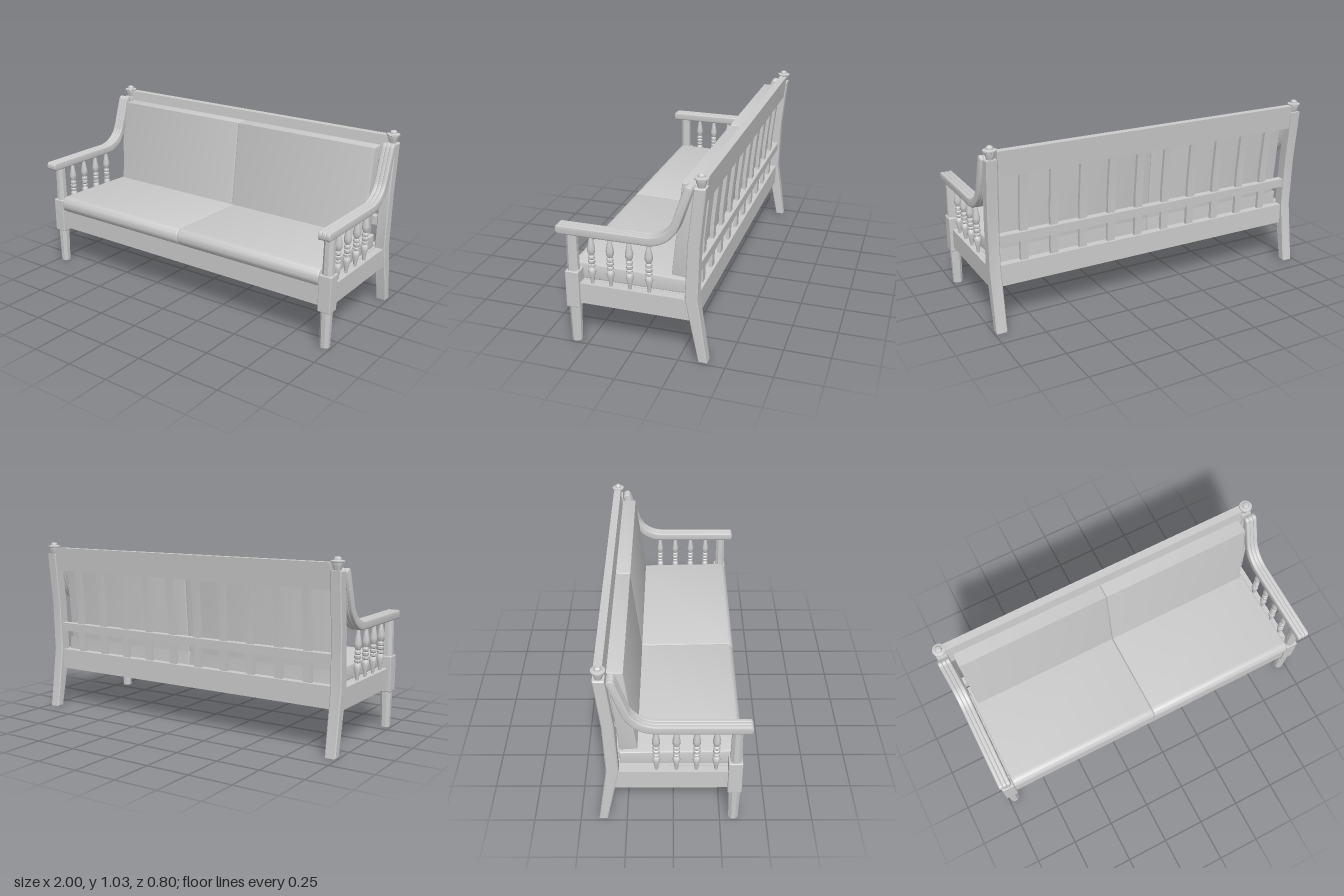
import * as THREE from 'three';
import { toCreasedNormals } from 'three/addons/utils/BufferGeometryUtils.js';
import { RoundedBoxGeometry } from 'three/addons/geometries/RoundedBoxGeometry.js';

const material = new THREE.MeshStandardMaterial({ color: 0xcccccc });

function add(parent, name, geometry, x = 0, y = 0, z = 0) {
  const mesh = new THREE.Mesh(geometry, material);
  mesh.name = name;
  mesh.position.set(x, y, z);
  parent.add(mesh);
  return mesh;
}

// Extrude a side profile, given as (z, y), across x and centre it on x = 0
function acrossX(shape, width, bevel = 0, bevelSegments = 3) {
  const depth = width - 2 * bevel;
  const g = new THREE.ExtrudeGeometry(shape, {
    depth, bevelEnabled: bevel > 0, bevelSize: bevel, bevelThickness: bevel,
    bevelOffset: -bevel, bevelSegments, curveSegments: 12,
  });
  g.translate(0, 0, -depth / 2).rotateY(-Math.PI / 2);
  return toCreasedNormals(g, 0.6);
}

const polygon = (points) => new THREE.Shape(points.map(([z, y]) => new THREE.Vector2(z, y)));

// Lathe from (radius, height) pairs
const turned = (points, segments = 16) => toCreasedNormals(
  new THREE.LatheGeometry(points.map(([r, y]) => new THREE.Vector2(r, y)), segments), 0.7);

// Eight-sided tapered post, flat to the front, standing on its base
function octagonPost(top, bottom, height) {
  const k = 1 / Math.cos(Math.PI / 8);
  return new THREE.CylinderGeometry(top * k, bottom * k, height, 8)
    .rotateY(Math.PI / 8).translate(0, height / 2, 0).toNonIndexed();
}

function flat(geometry) {
  geometry.computeVertexNormals();
  return geometry;
}

// Side outline of the sweeping armrest
function armShape() {
  const s = new THREE.Shape();
  s.moveTo(0.385, 0.625);
  s.quadraticCurveTo(0.402, 0.627, 0.402, 0.65);
  s.quadraticCurveTo(0.402, 0.673, 0.385, 0.675);
  s.lineTo(-0.085, 0.675);
  s.bezierCurveTo(-0.155, 0.68, -0.205, 0.725, -0.222, 0.775);
  s.lineTo(-0.28, 0.95);
  s.quadraticCurveTo(-0.288, 0.972, -0.305, 0.968);
  s.quadraticCurveTo(-0.326, 0.964, -0.325, 0.945);
  s.lineTo(-0.264, 0.765);
  s.bezierCurveTo(-0.24, 0.69, -0.18, 0.63, -0.095, 0.625);
  s.closePath();
  return s;
}

function seatShape() {
  const s = new THREE.Shape();
  s.moveTo(-0.28, 0.35);
  s.lineTo(0.345, 0.35);
  s.bezierCurveTo(0.37, 0.37, 0.372, 0.41, 0.345, 0.435);
  s.quadraticCurveTo(0.335, 0.443, 0.31, 0.443);
  s.lineTo(-0.28, 0.43);
  s.closePath();
  return s;
}

function createSide() {
  const side = new THREE.Group();
  const x = 0.96;

  // Back leg, kicked out below the seat and leaning back above it
  add(side, 'backLeg', acrossX(polygon([
    [-0.355, 0], [-0.283, 0.36], [-0.297, 0.66], [-0.33, 0.96],
    [-0.39, 0.96], [-0.36, 0.66], [-0.35, 0.36], [-0.401, 0],
  ]), 0.062, 0.005, 1), x);
  add(side, 'finial', turned([
    [0, 0.95], [0.018, 0.955], [0.02, 0.965], [0.027, 0.985], [0.028, 0.998],
    [0.037, 1.002], [0.037, 1.009], [0.019, 1.013], [0.018, 1.023], [0.012, 1.029], [0, 1.03],
  ], 20), x, 0, -0.36);

  // Front leg with square block and arm post
  add(side, 'frontLeg', flat(octagonPost(0.031, 0.026, 0.215)), 0.963, 0, 0.324);
  add(side, 'frontLegBlock', new RoundedBoxGeometry(0.075, 0.21, 0.075, 2, 0.006), 0.9625, 0.315, 0.3225);
  add(side, 'armPost', flat(octagonPost(0.027, 0.03, 0.22)), 0.963, 0.415, 0.324);

  // Armrest of three rounded strands
  const arm = new THREE.Group();
  arm.name = 'armrest';
  const strand = acrossX(armShape(), 0.025, 0.009);
  for (const ax of [0.9425, 0.965, 0.9875]) add(arm, 'armStrand', strand, ax);
  side.add(arm);

  // Side rail and turned spindles
  add(side, 'sideRail', new THREE.BoxGeometry(0.045, 0.115, 0.6), x, 0.2925, -0.01);
  const spindle = turned([
    [0.008, 0], [0.013, 0.04], [0.021, 0.07], [0.018, 0.09], [0.012, 0.098],
    [0.018, 0.103], [0.018, 0.113], [0.013, 0.118], [0.018, 0.125], [0.018, 0.138],
    [0.013, 0.143], [0.018, 0.15], [0.018, 0.16], [0.012, 0.168],
    [0.02, 0.185], [0.021, 0.205], [0.014, 0.24], [0.007, 0.285],
  ]);
  for (const z of [0.222, 0.12, 0.016, -0.088]) add(side, 'armSpindle', spindle, x, 0.347, z);
  return side;
}

export function createModel() {
  const model = new THREE.Group();
  model.name = 'sofa';

  // Two mirrored ends; the mirrored one is turned by a negative scale
  const left = createSide();
  left.name = 'leftEnd';
  const right = createSide();
  right.name = 'rightEnd';
  right.scale.x = -1;
  model.add(left, right);

  // Seat frame
  add(model, 'frontRail', new THREE.BoxGeometry(1.87, 0.115, 0.05), 0, 0.2975, 0.322);
  add(model, 'seatBase', new THREE.BoxGeometry(1.87, 0.11, 0.6), 0, 0.295, 0.005);
  add(model, 'lowerBackRail', new THREE.BoxGeometry(1.87, 0.12, 0.045), 0, 0.3, -0.315);

  // Back frame, leaning with the rear legs
  add(model, 'middleBackRail', acrossX(polygon([
    [-0.3, 0.48], [-0.302, 0.53], [-0.346, 0.53], [-0.344, 0.48],
  ]), 1.87));
  add(model, 'topBackRail', acrossX(polygon([
    [-0.328, 0.86], [-0.342, 1.0], [-0.386, 1.0], [-0.372, 0.86],
  ]), 1.86, 0.002, 1));
  const slat = acrossX(polygon([
    [-0.302, 0.34], [-0.312, 0.62], [-0.34, 0.88], [-0.36, 0.88], [-0.332, 0.62], [-0.322, 0.34],
  ]), 0.046);
  for (let i = 0; i < 10; i++) add(model, 'backSlat', slat, (i - 4.5) * 0.174);

  // Cushions
  const seat = acrossX(seatShape(), 0.925, 0.008);
  const back = acrossX(polygon([
    [-0.187, 0.437], [-0.245, 0.945], [-0.327, 0.945], [-0.28, 0.43],
  ]), 0.905, 0.008);
  for (const s of [-1, 1]) {
    add(model, 'seatCushion', seat, s * 0.4625);
    add(model, 'backCushion', back, s * 0.4525);
  }
  return model;
}
